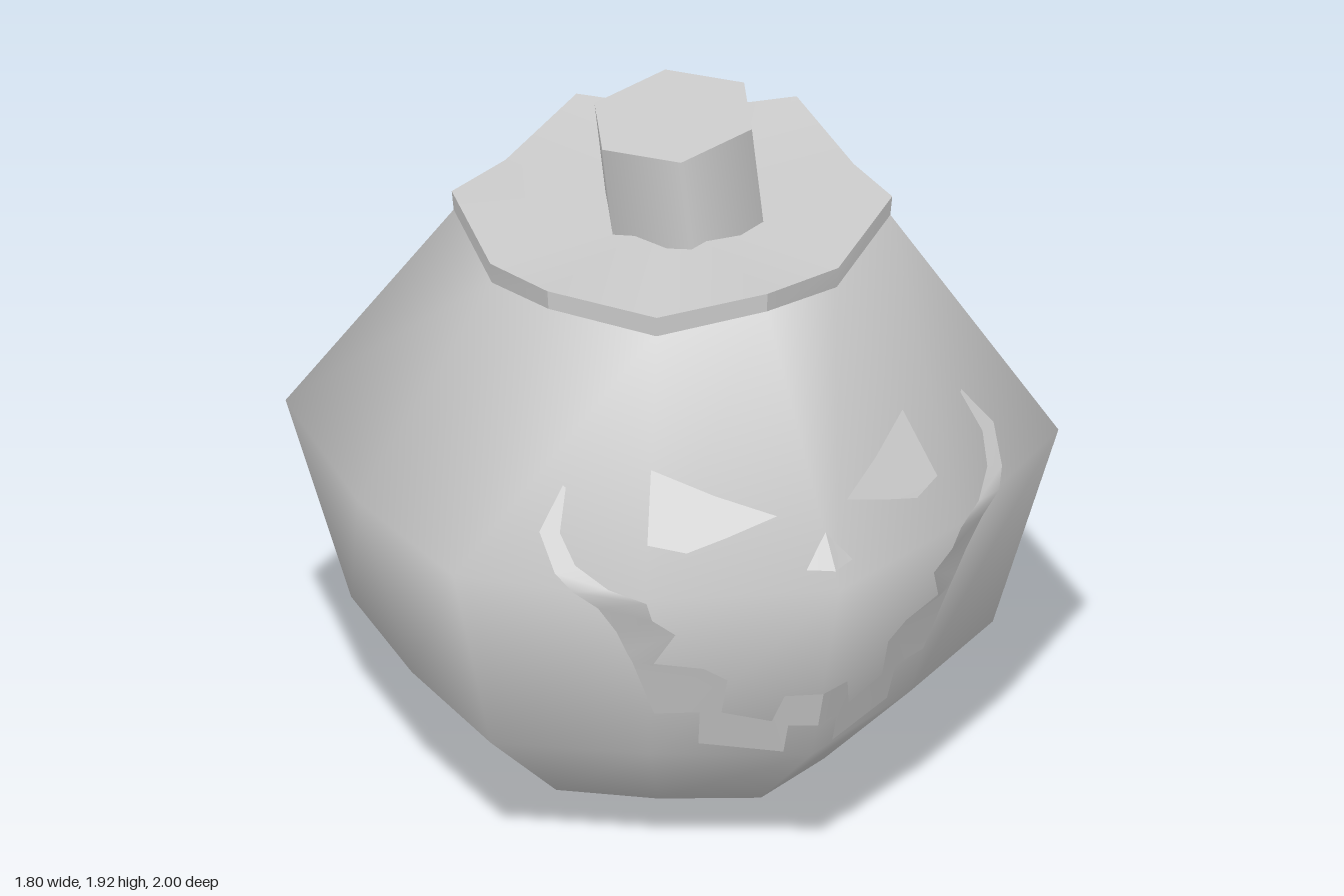
import * as THREE from 'three';
import { toCreasedNormals } from 'three/addons/utils/BufferGeometryUtils.js';

const SIDES = 12;

// One ring: even points are hexagon corners, odd points the edge middles.
function ring(cornerR, midR, cornerY, midY, tilt = 0) {
  return Array.from({ length: SIDES }, (_, i) => {
    const r = i % 2 ? midR : cornerR;
    const a = (i * Math.PI * 2) / SIDES;
    const x = r * Math.sin(a);
    return [x, (i % 2 ? midY : cornerY) + tilt * x, r * Math.cos(a)];
  });
}

// Skin a stack of rings, bottom to top.
function loft(rings) {
  const index = [];
  for (let k = 0; k < rings.length - 1; k++) {
    for (let i = 0; i < SIDES; i++) {
      const j = (i + 1) % SIDES;
      const a = k * SIDES, b = a + SIDES;
      index.push(a + i, a + j, b + j, a + i, b + j, b + i);
    }
  }
  const g = new THREE.BufferGeometry();
  g.setAttribute('position', new THREE.Float32BufferAttribute(rings.flat(2), 3));
  g.setIndex(index);
  g.computeVertexNormals();
  return g;
}

// Strip between an upper and a lower edge; each entry is [ux, uy, lx, ly].
function strip(pairs) {
  const pos = [], index = [];
  pairs.forEach(([ux, uy, lx, ly], i) => {
    pos.push(ux, uy, 0, lx, ly, 0);
    const a = i * 2;
    if (i < pairs.length - 1) index.push(a, a + 1, a + 3, a, a + 3, a + 2);
  });
  const g = new THREE.BufferGeometry();
  g.setAttribute('position', new THREE.Float32BufferAttribute(pos, 3));
  g.setIndex(index);
  return g;
}

// Lay a flat outline onto the front of the body.
function drape(geometry, body) {
  const ray = new THREE.Raycaster();
  const p = geometry.attributes.position;
  for (let i = 0; i < p.count; i++) {
    ray.set(new THREE.Vector3(p.getX(i), p.getY(i), 3), new THREE.Vector3(0, 0, -1));
    const hit = ray.intersectObject(body)[0];
    p.setZ(i, (hit ? hit.point.z : 0) + 0.009);
  }
  geometry.computeVertexNormals();
  return geometry;
}

export function createModel() {
  const group = new THREE.Group();
  const grey = new THREE.MeshStandardMaterial({ color: 0xcccccc, side: THREE.DoubleSide });
  grey.name = 'light grey';

  const add = (name, geometry) => {
    const mesh = new THREE.Mesh(geometry, grey);
    mesh.name = name;
    group.add(mesh);
    return mesh;
  };

  // Six-sided gourd coming to a point underneath
  const body = add('body', loft([
    ring(0.001, 0.001, 0, 0),
    ring(0.53, 0.475, 0.135, 0.13),
    ring(0.83, 0.745, 0.42, 0.42),
    ring(1.0, 0.9, 1.0, 0.97),
    ring(0.565, 0.51, 1.605, 1.55, 0.035),
  ]));

  // Wavy lid
  add('lid', toCreasedNormals(loft([
    ring(0.565, 0.515, 1.605, 1.54, 0.035),
    ring(0.57, 0.52, 1.66, 1.6, 0.035),
    ring(0.001, 0.001, 1.605, 1.605),
  ]), 0.7));

  // Leaning six-sided stem
  const stem = add('stem', new THREE.CylinderGeometry(0.225, 0.225, 0.36, 6, 1, false, -0.36));
  stem.position.set(0.024, 1.712, 0);
  stem.rotation.z = 0.115;

  // Carved face, one half mirrored to the other
  const eye = new THREE.ShapeGeometry(new THREE.Shape([
    [0.1, 1.16], [0.23, 1.11], [0.33, 1.075], [0.415, 1.09], [0.36, 1.253], [0.23, 1.2],
  ].map(([x, y]) => new THREE.Vector2(x, y))));
  const nose = strip([[0, 1.13, 0, 1.045], [0.032, 1.088, 0.032, 1.045], [0.065, 1.046, 0.065, 1.045]]);
  const mouth = strip([
    [0, 0.64, 0, 0.53], [0.09, 0.633, 0.07, 0.53], [0.11, 0.545, 0.07, 0.437],
    [0.23, 0.575, 0.27, 0.465], [0.23, 0.69, 0.28, 0.575], [0.29, 0.73, 0.385, 0.57],
    [0.41, 0.74, 0.455, 0.75], [0.37, 0.85, 0.47, 0.78], [0.43, 0.9, 0.5, 0.85],
    [0.45, 0.96, 0.55, 0.93], [0.53, 0.99, 0.61, 0.98], [0.59, 1.04, 0.64, 1.02],
    [0.605, 1.11, 0.65, 1.11], [0.565, 1.21, 0.57, 1.215],
  ]);
  const features = { Eye: eye, Nose: nose, Mouth: mouth };
  for (const [name, geometry] of Object.entries(features)) {
    drape(geometry, body);
    add('left' + name, geometry);
    add('right' + name, geometry).scale.x = -1;
  }

  return group;
}
